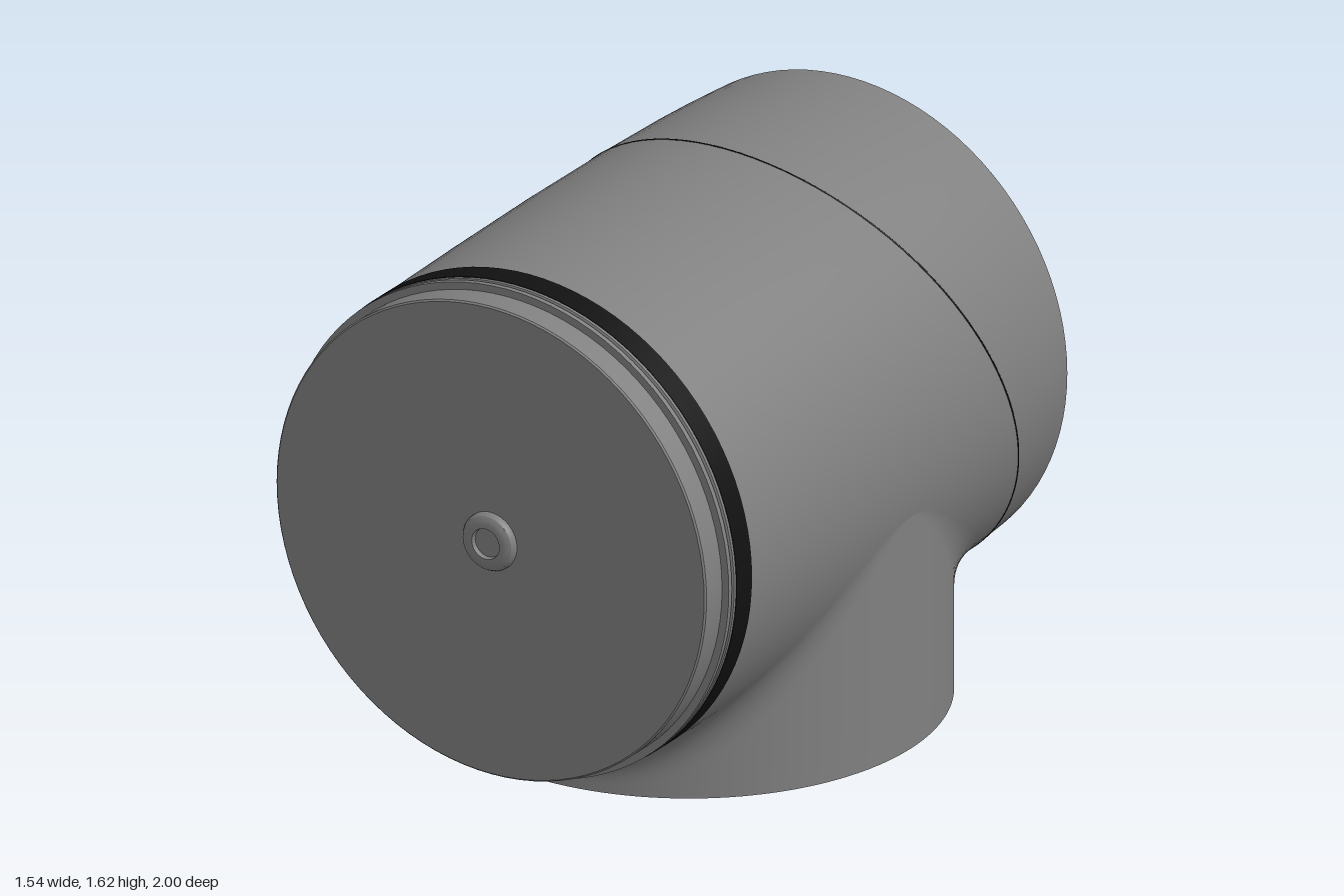
import * as THREE from 'three';
import { toCreasedNormals } from 'three/addons/utils/BufferGeometryUtils.js';

const AXIS_Y = 0.855; // height of the barrel axis
const NECK_Z = -0.055, NECK_R = 0.757;

// Barrel outline as [z, radius], slightly bulged
const BARREL = [[-0.89, 0.743], [-0.75, 0.753], [-0.6, 0.76], [-0.35, 0.766], [0, 0.768], [0.4, 0.764], [0.77, 0.757]];

function barrelRadius(z) {
  for (let i = 1; i < BARREL.length; i++) {
    const [z0, r0] = BARREL[i - 1], [z1, r1] = BARREL[i];
    if (z <= z1) return r0 + (r1 - r0) * (z - z0) / (z1 - z0);
  }
  return 0.757;
}

const paint = (color, side = THREE.FrontSide) => new THREE.MeshStandardMaterial({ color, side });

export function createModel() {
  const model = new THREE.Group();
  const body = paint(0x808080);
  const dark = paint(0x111111);
  const light = paint(0xcccccc);

  const add = (name, geometry, material, y = 0, z = 0) => {
    const mesh = new THREE.Mesh(geometry, material);
    mesh.name = name;
    mesh.position.set(0, y, z);
    model.add(mesh);
    return mesh;
  };

  // Turned part on the barrel axis, profile of [z, radius] from back to front
  const turned = (name, profile, material, segments = 96) => {
    const points = profile.map(([z, r]) => new THREE.Vector2(r, z));
    const geometry = new THREE.LatheGeometry(points, segments).rotateX(Math.PI / 2);
    return add(name, toCreasedNormals(geometry, 0.4), material, AXIS_Y);
  };

  // Barrel with chamfered back edge
  turned('barrel', [[-0.955, 0.68], ...BARREL, [0.77, 0.7]], body);

  // Front: seal band, retaining ring, lid
  turned('sealBand', [[0.77, 0.7], [0.77, 0.759], [0.85, 0.759], [0.85, 0.7]], dark);
  turned('retainingRing', [[0.85, 0.7], [0.85, 0.757], [0.86, 0.757], [0.863, 0.748], [0.869, 0.748],
    [0.872, 0.757], [0.888, 0.757], [0.888, 0.7]], body);
  turned('frontLid', [[0.888, 0.7], [0.888, 0.734], [0.968, 0.734], [0.973, 0.729], [0.973, 0]], body);

  // Rounded button with a shallow socket
  turned('frontButton', [[0.97, 0.09], [0.982, 0.089], [0.992, 0.083], [0.998, 0.072], [1, 0.06],
    [1, 0.047], [0.985, 0.045], [0.985, 0]], body, 48);

  // Back plate with three screw holes
  const plate = new THREE.Shape().absarc(0, 0, 0.68, 0, Math.PI * 2);
  plate.holes.push(new THREE.Path().absarc(0, 0, 0.5, 0, Math.PI * 2, true));
  for (let i = 0; i < 3; i++) {
    const a = Math.PI + i * Math.PI * 2 / 3;
    plate.holes.push(new THREE.Path().absarc(0.61 * Math.cos(a), 0.61 * Math.sin(a), 0.042, 0, Math.PI * 2, true));
  }
  const plateGeometry = new THREE.ExtrudeGeometry(plate, { depth: 0.06, bevelEnabled: false, curveSegments: 48 });
  add('backPlate', toCreasedNormals(plateGeometry, 0.5), body, AXIS_Y, -0.957);
  add('screwHoleFloor', new THREE.CircleGeometry(0.67, 64).rotateY(Math.PI), body, AXIS_Y, -0.905);

  // Light trim ring and domed cover on the back
  turned('backTrimRing', [[-0.973, 0.475], [-0.973, 0.525], [-0.968, 0.532], [-0.95, 0.532]], light);
  const dome = [];
  for (let i = 0; i <= 10; i++) {
    const r = 0.475 * i / 10;
    dome.push([-1 + 0.022 * (i / 10) ** 2, r]);
  }
  turned('backCover', [...dome, [-0.96, 0.477]], body);

  // Slanted parting line around the barrel
  const seam = [];
  for (let i = 0; i < 64; i++) {
    const a = i / 64 * Math.PI * 2, s = Math.sin(a);
    const z = -0.58 + 0.295 * s + 0.045 * s * s;
    const r = barrelRadius(z) - 0.001;
    seam.push(new THREE.Vector3(r * Math.cos(a), r * s, z));
  }
  add('partingLine', new THREE.TubeGeometry(new THREE.CatmullRomCurve3(seam, true), 160, 0.003, 6, true), dark, AXIS_Y);

  add('neck', neckGeometry(), body);

  // Open underside of the neck: rim, inner wall and recessed floor
  const inner = 0.742;
  add('neckRim', new THREE.RingGeometry(inner, NECK_R, 96).rotateX(Math.PI / 2), body, 0, NECK_Z);
  add('neckInnerWall', new THREE.CylinderGeometry(inner, inner, 0.07, 96, 1, true),
    paint(0x808080, THREE.BackSide), 0.035, NECK_Z);
  add('neckFloor', new THREE.CircleGeometry(inner, 96).rotateX(Math.PI / 2), paint(0x606060), 0.07, NECK_Z);

  return model;
}

// Round neck whose upper edge is blended into the barrel
function neckGeometry() {
  const around = 128, straight = 4, blend = 12, rows = straight + blend + 1;
  const positions = [], index = [];
  const barrelY = (x, z) => AXIS_Y - Math.sqrt(Math.max(0, barrelRadius(z) ** 2 - x * x));
  for (let i = 0; i < around; i++) {
    const a = i / around * Math.PI * 2, c = Math.cos(a), s = Math.sin(a);
    const x = NECK_R * c, z = NECK_Z + NECK_R * s;
    const meet = barrelY(x, z);
    const size = 0.045 * s * s + 0.2 * Math.abs(s * c);
    const start = new THREE.Vector3(x, meet - size, z);
    const z2 = z + Math.sign(s) * size;
    const end = new THREE.Vector3(x, barrelY(x, z2), z2);
    const curve = new THREE.QuadraticBezierCurve3(start, new THREE.Vector3(x, meet, z), end);
    for (let j = 0; j < straight; j++) positions.push(x, start.y * j / straight, z);
    for (let j = 0; j <= blend; j++) positions.push(...curve.getPoint(j / blend).toArray());
    const next = (i + 1) % around;
    for (let j = 0; j < rows - 1; j++) {
      const p = i * rows + j, q = next * rows + j;
      index.push(p, p + 1, q, q, p + 1, q + 1);
    }
  }
  const geometry = new THREE.BufferGeometry();
  geometry.setAttribute('position', new THREE.Float32BufferAttribute(positions, 3));
  geometry.setIndex(index);
  geometry.computeVertexNormals();
  return geometry;
}
